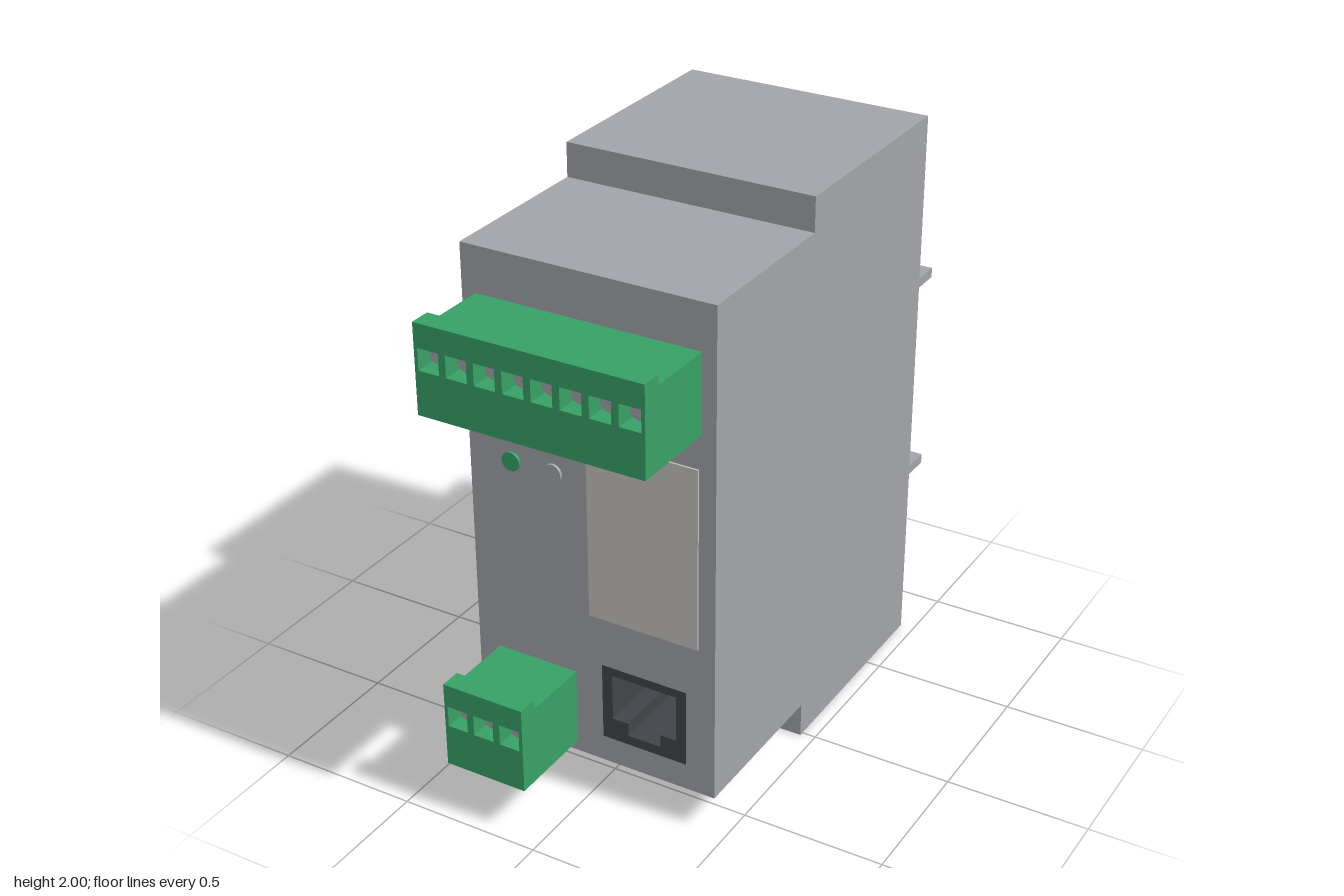
import * as THREE from 'three';

const mat = (name, color) => {
  const m = new THREE.MeshStandardMaterial({ color });
  m.name = name;
  return m;
};

// Rectangle as a list of corners, given by its limits
const rect = (x0, y0, x1, y1) =>
  [[x0, y0], [x1, y0], [x1, y1], [x0, y1]].map(([x, y]) => new THREE.Vector2(x, y));

// Flat plate with holes, extruded along z from 0 to depth
function plate(outline, holes, depth) {
  const shape = new THREE.Shape(outline);
  for (const h of holes) shape.holes.push(new THREE.Path(h));
  return new THREE.ExtrudeGeometry(shape, { depth, bevelEnabled: false });
}

export function createModel() {
  const grey = mat('housingGrey', 0xa2a4a9);
  const green = mat('terminalGreen', 0x38a066);
  const dark = mat('socketDark', 0x414449);
  const cream = mat('labelCream', 0xc6c4be);

  const model = new THREE.Group();
  model.name = 'railModule';

  const add = (name, geometry, material, parent = model) => {
    const mesh = new THREE.Mesh(geometry, material);
    mesh.name = name;
    parent.add(mesh);
    return mesh;
  };
  // Box given by its limits on each axis
  const box = (name, x0, x1, y0, y1, z0, z1, material, parent) => {
    const m = add(name, new THREE.BoxGeometry(x1 - x0, y1 - y0, z1 - z0), material, parent);
    m.position.set((x0 + x1) / 2, (y0 + y1) / 2, (z0 + z1) / 2);
    return m;
  };

  // Housing: tall rear block, shorter front block with an opening for the socket
  const FRONT = 0.615, STEP = 0.015, BACK = -0.785;
  box('rearHousing', -0.45, 0.45, 0, 2, BACK, STEP, grey);
  add('frontHousing',
    plate(rect(-0.45, 0.125, 0.45, 1.88), [rect(0.03, 0.22, 0.345, 0.5)], FRONT - STEP),
    grey).position.z = STEP;

  // Rail guides and the release clip on the back
  box('upperRailGuide', -0.43, 0.43, 1.355, 1.39, -0.932, BACK, grey);
  box('lowerRailGuide', -0.43, 0.43, 0.615, 0.65, -0.932, BACK, grey);
  box('railClip', -0.06, 0.06, 0.465, 0.615, -0.845, BACK, grey);

  // Plug-in terminal block: front plate with screw holes, rear part with wire holes below
  function terminalBlock(name, count, x0, y0) {
    const g = new THREE.Group();
    g.name = name;
    g.position.set(x0, y0, FRONT);
    model.add(g);
    const w = count * 0.1, r = 0.0375, rearDepth = 0.245, lip = 0.075, wireDepth = 0.15;
    const centres = Array.from({ length: count }, (_, i) => 0.05 + i * 0.1);

    add('screwPlate', plate(rect(0, 0, w, 0.31),
      centres.map((x) => rect(x - r, 0.19 - r, x + r, 0.19 + r)), lip), green, g)
      .position.z = rearDepth;

    const wirePart = add('wireEntry', plate(rect(0, 0, w, rearDepth),
      centres.map((x) => rect(x - r, 0.165 - r, x + r, 0.165 + r)), wireDepth), green, g);
    wirePart.rotation.x = Math.PI / 2;
    wirePart.position.y = wireDepth;

    box('terminalTop', 0, w, wireDepth, 0.275, 0, rearDepth, green, g);

    const screwGeometry = new THREE.CylinderGeometry(0.031, 0.031, 0.03, 8);
    screwGeometry.rotateX(Math.PI / 2);
    for (const x of centres) {
      add('terminalScrew', screwGeometry, grey, g).position.set(x, 0.19, rearDepth + 0.012);
    }
  }
  terminalBlock('upperTerminal', 8, -0.4, 1.445);
  terminalBlock('lowerTerminal', 3, -0.37, 0.165);

  // Indicator lights
  const lampGeometry = new THREE.CylinderGeometry(0.033, 0.033, 0.02, 24);
  lampGeometry.rotateX(Math.PI / 2);
  add('litIndicator', lampGeometry, green).position.set(-0.29, 1.165, FRONT);
  add('unlitIndicator', lampGeometry, grey).position.set(-0.135, 1.165, FRONT);

  // Blank label
  box('label', -0.01, 0.39, 0.68, 1.325, FRONT - 0.001, FRONT + 0.006, cream);

  // Network socket: stepped opening with a row of contacts
  const opening = [
    [0.068, 0.47], [0.068, 0.302], [0.127, 0.302], [0.127, 0.255],
    [0.248, 0.255], [0.248, 0.302], [0.307, 0.302], [0.307, 0.47],
  ].map(([x, y]) => new THREE.Vector2(x, y));
  const socketDepth = 0.35;
  add('socketFrame', plate(rect(0.03, 0.22, 0.345, 0.5), [opening], socketDepth), dark)
    .position.z = FRONT - socketDepth;
  box('socketBack', 0.03, 0.345, 0.22, 0.5, FRONT - socketDepth - 0.02, FRONT - socketDepth, dark);
  for (let i = 0; i < 8; i++) {
    const x = 0.1875 + (i - 3.5) * 0.02;
    box('socketContact', x - 0.004, x + 0.004, 0.45, 0.466, FRONT - 0.3, FRONT - 0.06, cream);
  }

  return model;
}
